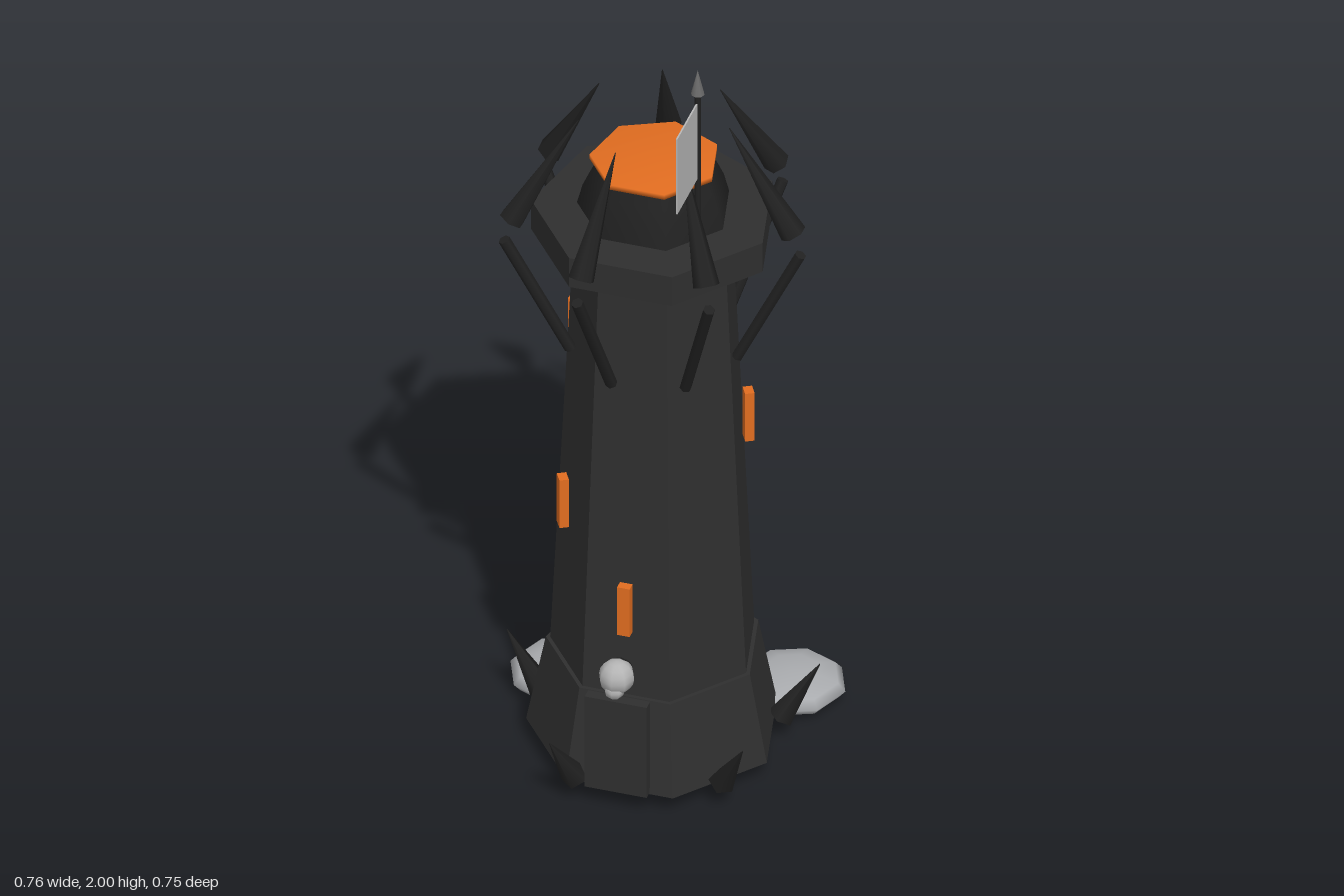
import * as THREE from 'three';
import { mergeVertices } from 'three/addons/utils/BufferGeometryUtils.js';

const mat = (name, color) => Object.assign(new THREE.MeshStandardMaterial({ color }), { name });

export function createModel() {
  const root = new THREE.Group();
  root.name = 'watchtower';
  const stone = mat('dark stone', 0x2f2f2f);
  const iron = mat('black iron', 0x212121);
  const ember = mat('ember orange', 0xe26d20);
  const rock = mat('grey rock', 0xa9abae);
  const bone = mat('bone grey', 0xb4b4b4);
  const steel = mat('spear steel', 0x6a6a6a);
  const cloth = mat('grey cloth', 0xb8b8b8);

  // The tower axis sits slightly off the model's centre
  const tower = new THREE.Group();
  tower.name = 'tower';
  tower.position.set(0.013, 0, 0.02);
  root.add(tower);

  const add = (parent, name, geo, material, x = 0, y = 0, z = 0) => {
    const mesh = new THREE.Mesh(geo, material);
    mesh.name = name;
    mesh.position.set(x, y, z);
    parent.add(mesh);
    return mesh;
  };
  const flat = (geo) => {
    const g = geo.toNonIndexed();
    g.computeVertexNormals();
    return g;
  };
  const smooth = (geo) => {
    geo.deleteAttribute('normal');
    geo.deleteAttribute('uv');
    const g = mergeVertices(geo, 1e-4);
    g.computeVertexNormals();
    return g;
  };
  // Seven-sided drum with a flat side to the front
  const drum = (rBottom, rTop, y0, y1) =>
    new THREE.CylinderGeometry(rTop, rBottom, y1 - y0, 7, 1, false, Math.PI).translate(0, (y0 + y1) / 2, 0);
  // Tapered bar between two points
  const up = new THREE.Vector3(0, 1, 0);
  const bar = (name, a, b, r0, r1, sides, material) => {
    const dir = b.clone().sub(a);
    const mesh = add(tower, name, new THREE.CylinderGeometry(r1, r0, dir.length(), sides), material);
    mesh.position.copy(a).add(b).multiplyScalar(0.5);
    mesh.quaternion.setFromUnitVectors(up, dir.normalize());
  };
  // Point at radius r and angle a, measured from +x towards +z
  const polar = (r, y, a) => new THREE.Vector3(r * Math.cos(a), y, r * Math.sin(a));

  // Walls
  add(tower, 'base', flat(drum(0.295, 0.25, 0.05, 0.28)), stone);
  add(tower, 'shaft', flat(drum(0.24, 0.186, 0.28, 1.41)), stone);
  add(tower, 'collar', flat(drum(0.284, 0.284, 1.41, 1.49)), stone);

  // Fire bowl and glowing top
  const bowl = [[0.179, 1.49], [0.166, 1.54], [0.148, 1.58], [0.132, 1.612]].map(([x, y]) => new THREE.Vector2(x, y));
  add(tower, 'fireBowl', new THREE.LatheGeometry(bowl, 7, Math.PI), iron);
  add(tower, 'fire', smooth(drum(0.15, 0.15, 1.612, 1.625)), ember);

  // Crown of inward-leaning spikes, each with a strut below
  for (let i = 0; i < 7; i++) {
    const a = (i * Math.PI * 2) / 7;
    bar('crownSpike', polar(0.33, 1.485, a), polar(0.177, 1.745, a), 0.031, 0.001, 6, iron);
    bar('strut', polar(0.195, 1.115, a), polar(0.347, 1.43, a), 0.014, 0.014, 6, iron);
  }

  // Outward-leaning spikes round the foot
  for (const deg of [-22, 40, 112, 188, 262.5]) {
    const a = THREE.MathUtils.degToRad(deg);
    bar('footSpike', polar(0.285, 0.06, a), polar(0.375, 0.2, a), 0.032, 0.001, 5, iron);
  }

  // Slit windows: angle from the front, distance from the axis, height
  for (const [deg, r, y] of [[0, 0.225, 0.52], [-60, 0.215, 0.705], [119, 0.216, 0.885], [-96, 0.2, 1.118]]) {
    const a = THREE.MathUtils.degToRad(deg);
    const w = add(tower, 'window', new THREE.BoxGeometry(0.03, 0.132, 0.022), ember, Math.sin(a) * r, y, Math.cos(a) * r);
    w.rotation.y = a;
  }

  // Door and the skull above it
  add(root, 'door', new THREE.BoxGeometry(0.148, 0.25, 0.026), stone, 0.011, 0.178, 0.293);
  const skull = new THREE.Group();
  skull.name = 'skull';
  skull.position.set(0.013, 0.375, 0.305);
  root.add(skull);
  add(skull, 'cranium', new THREE.SphereGeometry(0.042, 8, 8), bone);
  add(skull, 'jaw', new THREE.SphereGeometry(0.024, 8, 6), bone, 0, -0.026, 0.016);
  add(skull, 'skullMount', new THREE.SphereGeometry(0.037, 8, 8), iron, 0, 0, -0.012);

  // Flag on a spear
  add(root, 'flagPole', new THREE.CylinderGeometry(0.008, 0.008, 0.46, 8), iron, 0.163, 1.71, 0.17);
  add(root, 'spearTip', new THREE.ConeGeometry(0.016, 0.065, 8), steel, 0.163, 1.9675, 0.17);
  add(root, 'flag', new THREE.BoxGeometry(0.004, 0.208, 0.155), cloth, 0.163, 1.808, 0.248);

  // Flat boulders behind
  for (const [x, z] of [[-0.255, -0.13], [0.253, -0.248]]) {
    add(root, 'boulder', new THREE.SphereGeometry(0.127, 8, 6), rock, x, 0.042, z).scale.y = 0.31;
  }
  return root;
}
